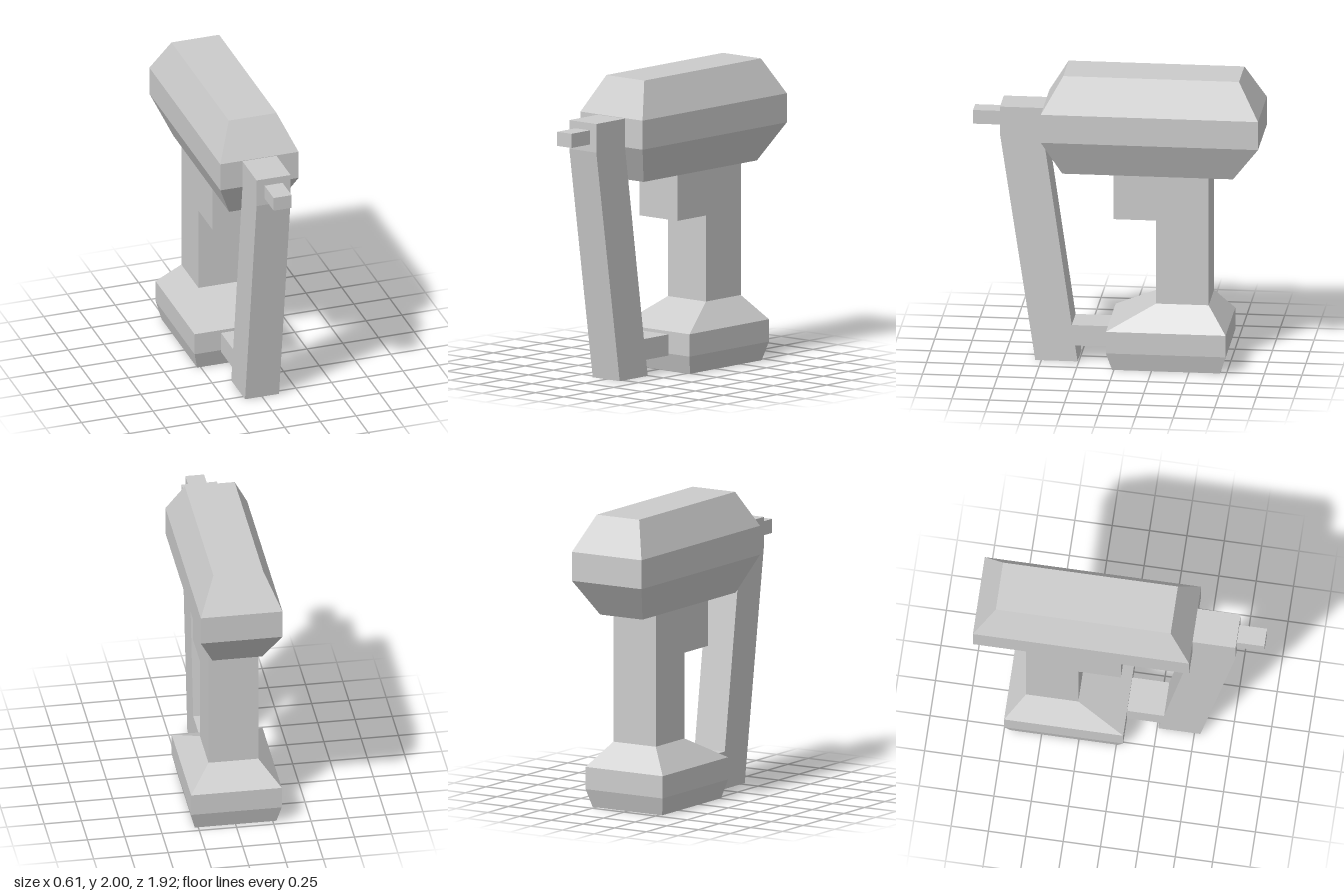
import * as THREE from 'three';

const material = new THREE.MeshStandardMaterial({ color: 0xcccccc, flatShading: true });

function addPart(group, name, geometry) {
  const mesh = new THREE.Mesh(geometry, material);
  mesh.name = name;
  group.add(mesh);
  return mesh;
}

// Solid through stacked rectangles, each [y, halfWidth, zBack, zFront], bottom to top
function stackedSolid(rings) {
  const corners = rings.map(([y, w, back, front]) =>
    [[-w, y, front], [w, y, front], [w, y, back], [-w, y, back]]);
  const positions = [];
  const quad = (a, b, c, d) => positions.push(...a, ...b, ...c, ...a, ...c, ...d);
  for (let i = 0; i < corners.length - 1; i++) {
    const lower = corners[i], upper = corners[i + 1];
    for (let j = 0; j < 4; j++) {
      const k = (j + 1) % 4;
      quad(lower[j], lower[k], upper[k], upper[j]);
    }
  }
  const bottom = corners[0], top = corners[corners.length - 1];
  quad(bottom[3], bottom[2], bottom[1], bottom[0]);
  quad(top[0], top[1], top[2], top[3]);
  const geometry = new THREE.BufferGeometry();
  geometry.setAttribute('position', new THREE.Float32BufferAttribute(positions, 3));
  geometry.computeVertexNormals();
  return geometry;
}

// Side profile of [z, y] points, extruded symmetrically across x
function sideProfile(points, halfWidth) {
  const shape = new THREE.Shape(points.map(([z, y]) => new THREE.Vector2(z, y)));
  const geometry = new THREE.ExtrudeGeometry(shape, { depth: halfWidth * 2, bevelEnabled: false });
  geometry.translate(0, 0, -halfWidth);
  geometry.rotateY(-Math.PI / 2);
  return geometry;
}

export function createModel() {
  const model = new THREE.Group();
  model.name = 'nailGun';

  // Bevelled motor housing
  addPart(model, 'motorHousing', stackedSolid([
    [1.32, 0.167, -0.782, 0.355],
    [1.565, 0.274, -0.96, 0.487],
    [1.76, 0.274, -0.96, 0.487],
    [2, 0.167, -0.822, 0.348],
  ]));

  // Bevelled battery foot
  addPart(model, 'batteryBase', stackedSolid([
    [0, 0.274, -0.708, 0.012],
    [0.123, 0.304, -0.747, 0.05],
    [0.273, 0.304, -0.747, 0.05],
    [0.437, 0.167, -0.62, -0.27],
  ]));

  // Grip with the trigger block stepping forward under the housing
  addPart(model, 'handle', sideProfile([
    [-0.62, 0.437], [-0.27, 0.437], [-0.27, 1.015],
    [0.015, 1.015], [0.015, 1.32], [-0.62, 1.32],
  ], 0.167));

  // Slanted front magazine with the link back to the foot
  addPart(model, 'magazine', sideProfile([
    [0.54, 0], [0.775, 1.565], [0.775, 1.757], [0.487, 1.757], [0.487, 1.565],
    [0.297, 0.252], [0.05, 0.252], [0.05, 0.11], [0.275, 0.11], [0.258, 0],
  ], 0.119));

  // Square nose
  addPart(model, 'nozzle', new THREE.BoxGeometry(0.126, 0.095, 0.187))
    .position.set(0, 1.661, 0.8665);

  return model;
}
